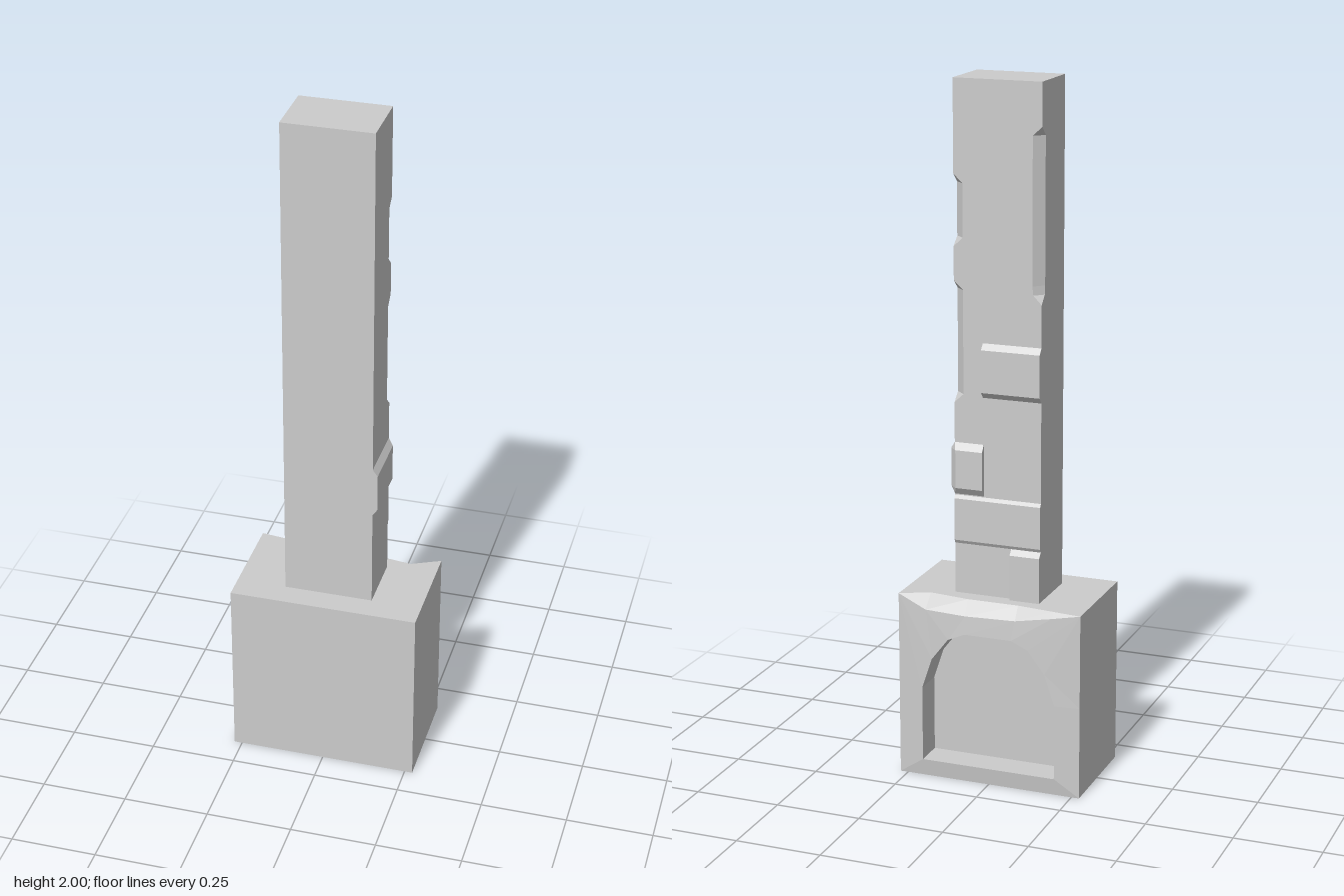
import * as THREE from 'three';

const mat = new THREE.MeshStandardMaterial({ color: 0xcccccc, flatShading: true });

// Skin a list of equal-length rings; optionally close each ring, cap the ring path's open ends
function loft(rings, { closed = true, sideCaps = false, lastCap = false } = {}) {
  const pos = [];
  const quad = (a, b, c, d) => pos.push(...a, ...b, ...c, ...a, ...c, ...d);
  const n = rings[0].length;
  for (let i = 0; i < rings.length - 1; i++)
    for (let j = 0; j < (closed ? n : n - 1); j++) {
      const k = (j + 1) % n;
      quad(rings[i][j], rings[i][k], rings[i + 1][k], rings[i + 1][j]);
    }
  if (sideCaps) {
    quad(...rings.map(r => r[0]));
    quad(...rings.map(r => r[n - 1]).reverse());
  }
  if (lastCap) {
    const r = rings[rings.length - 1];
    for (let j = 1; j < n - 1; j++) pos.push(...r[0], ...r[j], ...r[j + 1]);
  }
  const g = new THREE.BufferGeometry();
  g.setAttribute('position', new THREE.Float32BufferAttribute(pos, 3));
  g.computeVertexNormals();
  return g;
}

export function createModel() {
  const model = new THREE.Group();
  const add = (name, geo) => {
    const m = new THREE.Mesh(geo, mat);
    m.name = name;
    model.add(m);
    return m;
  };

  // Hearth block: solid front part
  const W = 0.273, H = 0.543, inner = -0.075;
  add('hearthBlock', new THREE.BoxGeometry(2 * W, H, 0.163 - inner))
    .position.set(0, H / 2, (0.163 + inner) / 2);

  // Hearth back: worn top edge, sloped frame and arched recess
  const half = [[0.2, 0.05], [0.2, 0.27], [0.17, 0.36], [0.12, 0.425], [0.07, 0.447]];
  const arch = [...half.map(([x, y]) => [-x, y]), ...half.slice().reverse()];
  // x, y, z of the top rim, y of the worn lower rim
  const rim = [
    [-W, 0, -0.156, 0], [-W, 0.27, -0.156, 0.27], [-W, H, -0.156, H],
    [-0.19, H, -0.146, 0.526], [-0.08, H, -0.133, 0.505],
    [0.07, H, -0.133, 0.5], [0.19, H, -0.117, 0.505],
    [W, H, -0.156, H], [W, 0.27, -0.156, 0.27], [W, 0, -0.156, 0],
  ];
  add('hearthOpening', loft([
    rim.map(([x, y]) => [x, y, inner]),
    rim.map(([x, y, z]) => [x, y, z]),
    rim.map(([x, , , low]) => [x, low, low < H && low > 0.4 ? -0.158 : -0.156]),
    arch.map(([x, y]) => [x, y, -0.163]),
    arch.map(([x, y]) => [x, y, inner]),
  ]));

  // Chimney shaft with chipped back corners: [height, chip at +x, chip at -x]
  const L = -0.13, R = 0.127, F = 0.091, B = -0.086, c = 0.027;
  const chips = [
    [0.53, 0, 0], [1.1, 0, 0], [1.125, c, 0], [1.395, c, 0], [1.42, c, c * 0.9],
    [1.445, 0, c], [1.54, 0, c], [1.565, c, c], [1.715, c, c], [1.74, 0, c],
    [1.855, 0, c], [1.88, 0, 0], [2, 0, 0],
  ];
  add('chimneyShaft', loft(chips.map(([y, p, q]) => [
    [L, y, F], [R, y, F], [R, y, B + p], [R - p, y, B], [L + q, y, B], [L, y, B],
  ].map((v, i) => (i === 5 ? [L, y, B + q] : v))), { lastCap: true }));

  // Raised bricks: bevelled top and bottom, swept along a path on the wall
  const brick = (name, base, outer, y0, y1, bevel) => {
    const at = (path, y) => path.map(([x, z]) => [x, y, z]);
    add(name, loft([
      at(base, y0), at(outer, y0 + bevel), at(outer, y1 - bevel), at(base, y1),
    ], { closed: false, sideCaps: true }));
  };
  const backBrick = (name, x0, x1, z, y0, y1, bevel) =>
    brick(name, [[x1, B], [x0, B]], [[x1, z], [x0, z]], y0, y1, bevel);

  backBrick('upperBrick', L, 0.042, -0.1, 1.12, 1.275, 0.017);
  backBrick('brickBand', L, R, -0.092, 0.69, 0.832, 0.01);
  backBrick('lowerBrick', L, -0.042, -0.1, 0.52, 0.69, 0.015);
  brick('cornerBrick',
    [[R, F], [R, B], [R, B], [0.04, B]],
    [[0.141, F], [0.141, -0.078], [0.12, -0.1], [0.04, -0.1]], 0.835, 0.985, 0.02);

  return model;
}
